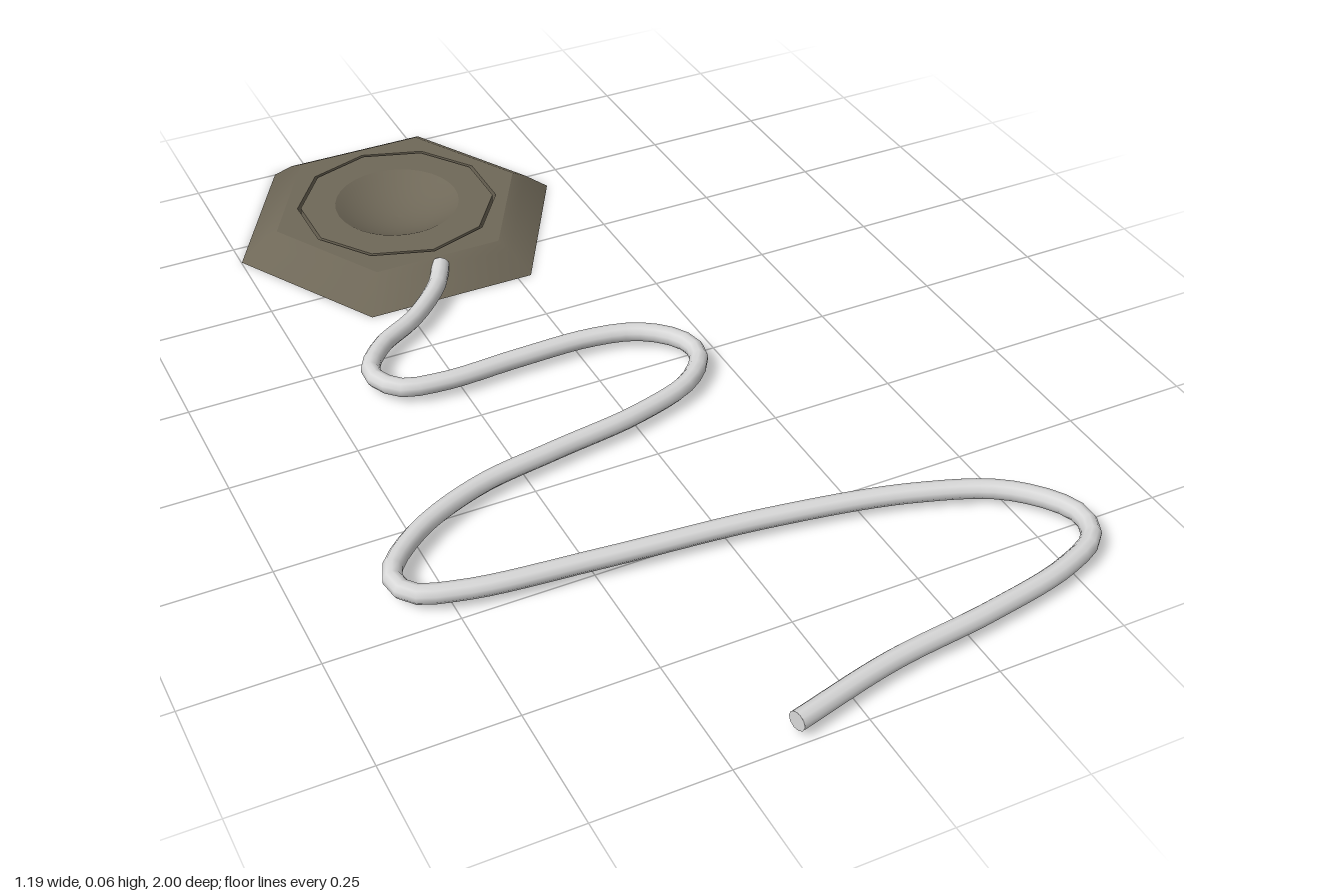
import * as THREE from 'three';

const H = 0.055; // top of the base

// Regular polygon outline; start is the angle of the first corner
function polygon(radius, sides, start, Type = THREE.Shape) {
  const pts = [];
  for (let i = 0; i < sides; i++) {
    const a = start + (i / sides) * Math.PI * 2;
    pts.push(new THREE.Vector2(Math.cos(a) * radius, Math.sin(a) * radius));
  }
  return new Type(pts);
}

// Flat horizontal plate with a hole, facing up
function plate(outer, hole) {
  outer.holes.push(hole);
  return new THREE.ShapeGeometry(outer).rotateX(-Math.PI / 2).translate(0, H, 0);
}

function lathe(profile, sides, start = 0) {
  return new THREE.LatheGeometry(profile.map(([r, y]) => new THREE.Vector2(r, y)), sides, start);
}

export function createModel() {
  const model = new THREE.Group();
  const bronze = new THREE.MeshStandardMaterial({ color: 0x6f6858 });
  bronze.name = 'bronze';
  const silver = new THREE.MeshStandardMaterial({ color: 0xd8d8d8 });
  silver.name = 'silver';

  const add = (parent, name, geometry, material) => {
    const mesh = new THREE.Mesh(geometry, material);
    mesh.name = name;
    parent.add(mesh);
    return mesh;
  };

  // Hexagonal base with a bevelled rim and a ten-sided opening
  const base = new THREE.Group();
  base.name = 'base';
  base.position.set(-0.147, 0, -0.696);
  model.add(base);
  add(base, 'baseRim', lathe([[0.352, 0], [0.3, 0.04], [0.27, H]], 6, Math.PI / 2), bronze);
  add(base, 'baseTop', plate(polygon(0.27, 6, 0), polygon(0.212, 10, Math.PI / 2, THREE.Path)), bronze);
  add(base, 'openingWall', lathe([[0.212, H], [0.212, 0]], 10), bronze);
  add(base, 'baseBottom', new THREE.CircleGeometry(0.352, 6).rotateX(Math.PI / 2), bronze);

  // Ten-sided button with a round dish, set in the opening with a narrow gap
  const button = new THREE.Group();
  button.name = 'button';
  base.add(button);
  add(button, 'buttonWall', lathe([[0.205, 0], [0.205, H]], 10), bronze);
  add(button, 'buttonTop', plate(polygon(0.205, 10, Math.PI / 2), polygon(0.132, 32, 0, THREE.Path)), bronze);
  const dish = [];
  for (let i = 0; i <= 8; i++) {
    const t = 1 - i / 8;
    dish.push([0.132 * t, H - 0.04 * (1 - t * t)]);
  }
  add(button, 'buttonDish', lathe(dish, 32), bronze);

  // Winding cord lying flat, its first end resting on the rim
  const path = [
    [-0.147, -0.452], [-0.177, -0.397], [-0.262, -0.312], [-0.357, -0.249], [-0.405, -0.175],
    [-0.373, -0.111], [-0.288, -0.092], [-0.13, -0.098], [0.03, -0.098], [0.124, -0.074],
    [0.185, -0.016], [0.193, 0.042], [0.135, 0.111], [0, 0.161], [-0.183, 0.192],
    [-0.352, 0.225], [-0.5, 0.296], [-0.579, 0.381], [-0.567, 0.434], [-0.479, 0.468],
    [-0.235, 0.497], [0.082, 0.529], [0.347, 0.582], [0.505, 0.651], [0.579, 0.751],
    [0.563, 0.815], [0.474, 0.862], [0.294, 0.9], [0.082, 0.928], [-0.124, 0.978],
  ];
  const curve = new THREE.CatmullRomCurve3(
    path.map(([x, z], i) => new THREE.Vector3(x, [0.041, 0.036][i] ?? 0.031, z)));
  const radius = 0.0185;
  add(model, 'cord', new THREE.TubeGeometry(curve, 130, radius, 10), silver);
  for (const t of [0, 1]) {
    const cap = add(model, 'cordEnd', new THREE.CircleGeometry(radius, 10), silver);
    const out = curve.getTangentAt(t).multiplyScalar(t ? 1 : -1);
    cap.position.copy(curve.getPointAt(t));
    cap.quaternion.setFromUnitVectors(new THREE.Vector3(0, 0, 1), out);
  }
  return model;
}
